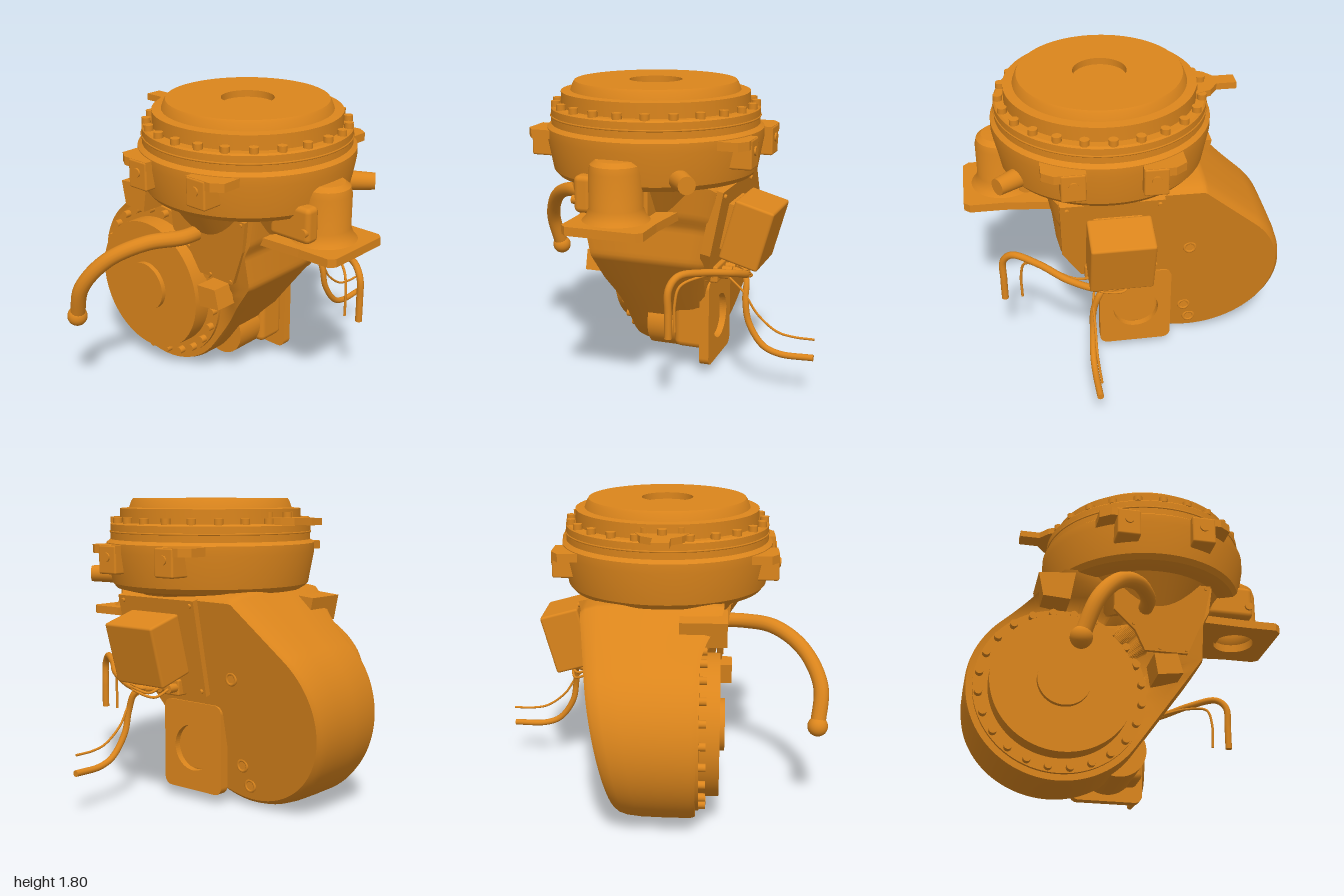
import * as THREE from 'three';
import { toCreasedNormals } from 'three/addons/utils/BufferGeometryUtils.js';
import { RoundedBoxGeometry } from 'three/addons/geometries/RoundedBoxGeometry.js';

const CX = 0.125, CZ = 0.02;      // axis of the turntable ring
const DX = -0.41, DY = 0.55;      // axis of the round side cover

export function createModel() {
  const root = new THREE.Group();
  const mat = new THREE.MeshStandardMaterial({ color: 0xdb851c, side: THREE.DoubleSide });

  const add = (name, geo, x = 0, y = 0, z = 0, parent = root) => {
    const m = new THREE.Mesh(geo, mat);
    m.name = name;
    m.position.set(x, y, z);
    parent.add(m);
    return m;
  };
  const box = (name, x0, x1, y0, y1, z0, z1, r = 0.012) =>
    add(name, new RoundedBoxGeometry(x1 - x0, y1 - y0, z1 - z0, 2, r), (x0 + x1) / 2, (y0 + y1) / 2, (z0 + z1) / 2);
  const cylZ = (name, r, x, y, z0, z1, seg = 64, r2 = r) =>
    add(name, new THREE.CylinderGeometry(r2, r, z1 - z0, seg).rotateX(Math.PI / 2), x, y, (z0 + z1) / 2);
  const lathe = (pts, seg = 96) =>
    toCreasedNormals(new THREE.LatheGeometry(pts.map(p => new THREE.Vector2(...p)), seg), 0.5);
  const shapeOf = pts => new THREE.Shape(pts.map(p => new THREE.Vector2(...p)));
  const slab = (shape, depth) =>
    new THREE.ExtrudeGeometry(shape, { depth, bevelEnabled: false, curveSegments: 32 });
  // Plan outline given as [x, z], raised along y
  const planSlab = (pts, depth, hole) => {
    const s = shapeOf(pts.map(([x, z]) => [x, -z]));
    if (hole) s.holes.push(new THREE.Path().absarc(hole[0], -hole[1], hole[2], 0, Math.PI * 2, true));
    return slab(s, depth).rotateX(-Math.PI / 2);
  };
  const tube = (name, r, pts) => {
    const curve = new THREE.CatmullRomCurve3(pts.map(p => new THREE.Vector3(...p)), false, 'centripetal');
    add(name, new THREE.TubeGeometry(curve, 48, r, 14));
    const end = add(name + 'End', new THREE.CylinderGeometry(r, r, 0.004, 14), ...pts[pts.length - 1]);
    end.quaternion.setFromUnitVectors(new THREE.Vector3(0, 1, 0), curve.getTangent(1));
  };

  add('gearHousing', housingGeometry());

  // Turntable ring on top, with its shallow centre recess
  add('turntable', lathe([
    [0, 1.24], [0.5, 1.24], [0.58, 1.26], [0.605, 1.29], [0.64, 1.48], [0.64, 1.535], [0.615, 1.555],
    [0.615, 1.645], [0.605, 1.655], [0.555, 1.655], [0.555, 1.74], [0.5, 1.745], [0.485, 1.785],
    [0.475, 1.8], [0.155, 1.8], [0.155, 1.76], [0, 1.76]]), CX, 0, CZ);
  add('ringRib', new THREE.TorusGeometry(0.615, 0.006, 6, 96).rotateX(Math.PI / 2), CX, 1.6, CZ);
  add('housingFunnel', new THREE.CylinderGeometry(0.5, 0.36, 0.22, 64), CX, 1.15, CZ);
  for (let i = 0; i < 24; i++) {
    const a = i * Math.PI / 12;
    add('ringBolt', new THREE.CylinderGeometry(0.027, 0.027, 0.035, 16),
      CX + 0.587 * Math.cos(a), 1.67, CZ + 0.587 * Math.sin(a));
  }

  // Left-hand stop tab
  add('stopTab', planSlab([[-0.67, -0.03], [-0.55, -0.03], [-0.5, -0.1], [-0.4, -0.14], [-0.4, 0.18],
    [-0.5, 0.13], [-0.55, 0.07], [-0.67, 0.07]], 0.04), 0, 1.65, 0);
  for (const z of [-0.08, 0.02, 0.12])
    add('tabBolt', new THREE.CylinderGeometry(0.028, 0.028, 0.035, 16), -0.46 + Math.abs(z - 0.02) * 0.6, 1.705, z);

  // Four mounting lugs around the ring
  for (const sx of [-1, 1]) for (const sz of [-1, 1]) {
    const pts = [[0.155, 0.45], [0.155, 0.665], [0.33, 0.665], [0.395, 0.62], [0.395, 0.45]];
    add('lugBar', planSlab(pts.map(([x, z]) => [CX + sx * x, CZ + sz * z]), 0.05), 0, 1.48, 0);
    const x = CX + sx * 0.225, z = CZ + sz * 0.57;
    box('lugBlock', x - 0.07, x + 0.07, 1.36, 1.53, z - 0.1, z + 0.1);
    const zf = CZ + sz * 0.668;
    cylZ('lugPin', 0.027, x, 1.46, zf - 0.012, zf + 0.012, 20);
  }

  // Round side cover with its bolt circle and hub
  cylZ('coverFlange', 0.505, DX, DY, 0.2, 0.24, 96);
  cylZ('coverDisc', 0.42, DX, DY, 0.22, 0.355, 96);
  cylZ('coverHub', 0.155, DX, DY, 0.34, 0.385, 48);
  for (let i = 0; i < 24; i++) {
    const a = (i + 0.5) * Math.PI / 12;
    cylZ('coverBolt', 0.023, DX + 0.475 * Math.cos(a), DY + 0.475 * Math.sin(a), 0.23, 0.28, 16);
  }

  // Front access panel with screws
  const panel = new THREE.Group();
  panel.name = 'frontPanel';
  panel.position.set(0, 1.01, 0.36);
  panel.rotation.x = 0.12;
  root.add(panel);
  add('panelPlate', slab(shapeOf([[-0.13, 0.22], [-0.13, 0.02], [0.0, -0.1], [0.06, -0.22], [0.32, -0.22],
    [0.42, 0.02], [0.46, 0.22]]), 0.03), 0, 0, 0, panel);
  for (const [x, y] of [[-0.1, 0.2], [0.16, 0.2], [0.26, 0.2], [0.43, 0.2], [0.15, -0.2], [0.31, -0.2], [-0.01, -0.06]])
    add('panelScrew', new THREE.CylinderGeometry(0.011, 0.011, 0.02, 10).rotateX(Math.PI / 2), x, y, 0.03, panel);

  // Small blocks beside the cover
  add('upperBlock', slab(shapeOf([[-0.58, 1.22], [-0.55, 1.07], [-0.39, 1.06], [-0.36, 1.24]]), 0.27), 0, 0, 0.12);
  add('lowerBlock', slab(shapeOf([[0.12, 0.61], [0.27, 0.63], [0.24, 0.75], [0.1, 0.74]]), 0.2), 0, 0, 0.23);

  // Side bracket with hollow domed pillar
  add('bracketPlate', planSlab([[0.43, -0.24], [0.72, -0.21], [0.92, -0.21], [0.955, -0.18], [0.955, 0.23],
    [0.92, 0.265], [0.72, 0.265], [0.43, 0.28]], 0.05, [0.715, 0.03, 0.125]), 0, 1.05, 0);
  add('bracketPillar', lathe([[0.125, 1.05], [0.2, 1.09], [0.17, 1.12], [0.15, 1.17], [0.15, 1.37],
    [0.14, 1.41], [0.11, 1.435], [0, 1.44]], 48), 0.715, 0, 0.03);
  box('bracketWeb', 0.45, 0.63, 1.08, 1.3, -0.12, 0.18);
  box('sideBoss', 0.5, 0.78, 1.13, 1.34, 0.16, 0.26, 0.03);
  cylZ('bracketPin', 0.025, 0.75, 1.2, 0.24, 0.275, 16);
  const plug = add('sidePlug', new THREE.CylinderGeometry(0.05, 0.06, 0.18, 24).rotateX(Math.PI / 2), 0.68, 1.33, -0.34);
  plug.rotation.y = Math.PI - 0.95;

  // Curved front hose with ball end
  tube('frontHose', 0.045, [[0.06, 1.05, 0.33], [0.05, 1.05, 0.5], [-0.05, 1.045, 0.68], [-0.2, 0.95, 0.85],
    [-0.33, 0.77, 0.945], [-0.41, 0.55, 0.93]]);
  add('hoseBall', new THREE.SphereGeometry(0.06, 28, 20), DX, DY, 0.93);

  // Rear plate, electrical box and connectors
  const rear = add('rearPlate', slab(shapeOf([[-0.18, 0.29], [-0.18, -0.29], [0.3, -0.29], [0.41, -0.1],
    [0.42, 0.29]]), 0.06), 0, 0.94, -0.435);
  rear.rotation.x = -0.2;
  for (const [x, y] of [[-0.15, 0.26], [0.38, 0.26], [-0.15, -0.26], [0.27, -0.26]])
    add('rearScrew', new THREE.CylinderGeometry(0.014, 0.014, 0.02, 10).rotateX(Math.PI / 2), x, y, -0.005, rear);
  const eBox = add('electricalBox', new RoundedBoxGeometry(0.37, 0.37, 0.24, 2, 0.015), 0.09, 0.94, -0.585);
  eBox.rotation.x = -0.27;
  add('boxNeck', new THREE.BoxGeometry(0.28, 0.28, 0.12), 0, 0, 0.14, eBox);
  box('connectorBase', 0.0, 0.28, 0.64, 0.74, -0.42, -0.34);
  for (let i = 0; i < 4; i++) {
    cylZ('connector', 0.027, 0.03 + i * 0.07, 0.69, -0.48, -0.4, 16);
    tube('connectorLead', 0.008, [[0.03 + i * 0.07, 0.69, -0.47], [0.06 + i * 0.05, 0.65 + i * 0.02, -0.56],
      [0.2, 0.68 + i * 0.015, -0.59], [0.27, 0.7 + i * 0.01, -0.57]]);
  }

  // Cables leaving the connectors
  tube('sideCable', 0.021, [[0.13, 0.69, -0.44], [0.2, 0.69, -0.57], [0.38, 0.75, -0.55], [0.55, 0.79, -0.42],
    [0.7, 0.8, -0.32], [0.755, 0.74, -0.29], [0.76, 0.6, -0.29], [0.76, 0.46, -0.29]]);
  tube('sideCableThin', 0.008, [[0.2, 0.69, -0.46], [0.35, 0.74, -0.52], [0.52, 0.755, -0.4], [0.63, 0.72, -0.31],
    [0.655, 0.62, -0.29], [0.655, 0.46, -0.29]]);
  tube('rearCable', 0.019, [[0.1, 0.68, -0.44], [0.2, 0.67, -0.57], [0.25, 0.55, -0.585], [0.26, 0.42, -0.61],
    [0.27, 0.29, -0.7], [0.27, 0.25, -0.8], [0.265, 0.25, -1]]);
  tube('rearCableThin', 0.007, [[0.22, 0.68, -0.46], [0.25, 0.6, -0.57], [0.25, 0.47, -0.66], [0.255, 0.38, -0.78],
    [0.255, 0.36, -0.88], [0.255, 0.36, -1]]);

  // Square motor flange low on the back, with round opening
  const fl = new THREE.Shape();
  const [x0, x1, y0, y1, r] = [-0.26, 0.185, 0.06, 0.6, 0.05];
  fl.absarc(x1 - r, y0 + r, r, -Math.PI / 2, 0).absarc(x1 - r, y1 - r, r, 0, Math.PI / 2)
    .absarc(x0 + r, y1 - r, r, Math.PI / 2, Math.PI).absarc(x0 + r, y0 + r, r, Math.PI, Math.PI * 1.5);
  fl.holes.push(new THREE.Path().absarc(-0.04, 0.32, 0.14, 0, Math.PI * 2, true));
  add('motorFlange', slab(fl, 0.06), 0, 0, -0.34);
  cylZ('motorSocket', 0.17, -0.04, 0.27, -0.29, 0.08, 40);
  box('motorBody', -0.2, 0.15, 0.15, 0.56, -0.3, -0.1, 0.04);

  // Plugs on the rounded back
  for (const [x, y] of [[-0.36, 0.25], [-0.4, 0.13], [-0.36, 0.78]]) {
    const z = -0.21 - 0.2 * y;
    add('backPlug', new THREE.TorusGeometry(0.032, 0.01, 8, 24), x, y, z);
    cylZ('backPlugCore', 0.025, x, y, z - 0.005, z + 0.03, 20);
  }
  return root;
}

// Housing: one outline swept from front to back, closed by rings shrinking to the cover axis
function housingGeometry() {
  const o = new THREE.Path();
  const rad = THREE.MathUtils.degToRad;
  o.absarc(DX, DY, 0.55, rad(-35.5), rad(-228.1), true);
  for (const [x, y] of [[-0.42, 1.28], [0.5, 1.29], [0.47, 1.08], [0.43, 1], [0.43, 0.78]]) o.lineTo(x, y);
  o.closePath();
  const out = o.getSpacedPoints(180);
  // [scale of the outline, depth from front 0 to back 1]
  const rows = [[0, 0], [0.4, 0], [0.6, 0], [0.7, 0], [0.8, 0], [0.9, 0], [0.985, 0], [1, 0.06], [1, 0.4], [0.995, 0.7],
    [0.98, 0.87], [0.955, 0.96], [0.92, 1], [0.75, 1], [0.5, 1], [0, 1]];
  const pos = [], idx = [], n = out.length;
  for (const [s, t] of rows) for (const p of out) {
    const x = DX + (p.x - DX) * s, y = DY + (p.y - DY) * s;
    const swell = THREE.MathUtils.smoothstep(Math.hypot(x - DX, y - DY), 0.5, 0.72);
    const front = 0.22 + 0.15 * swell * THREE.MathUtils.clamp((y - 0.2) / 0.8, 0, 1);
    pos.push(x, y, THREE.MathUtils.lerp(front, -0.21 - 0.2 * y, t));
  }
  for (let i = 0; i < rows.length - 1; i++) for (let j = 0; j < n - 1; j++) {
    const a = i * n + j, b = a + 1, c = a + n, d = c + 1;
    if (i > 0) idx.push(a, b, c);
    if (i === 0 || i < rows.length - 2) idx.push(b, d, c);
  }
  const g = new THREE.BufferGeometry();
  g.setAttribute('position', new THREE.Float32BufferAttribute(pos, 3));
  g.setIndex(idx);
  return toCreasedNormals(g, 0.6);
}
